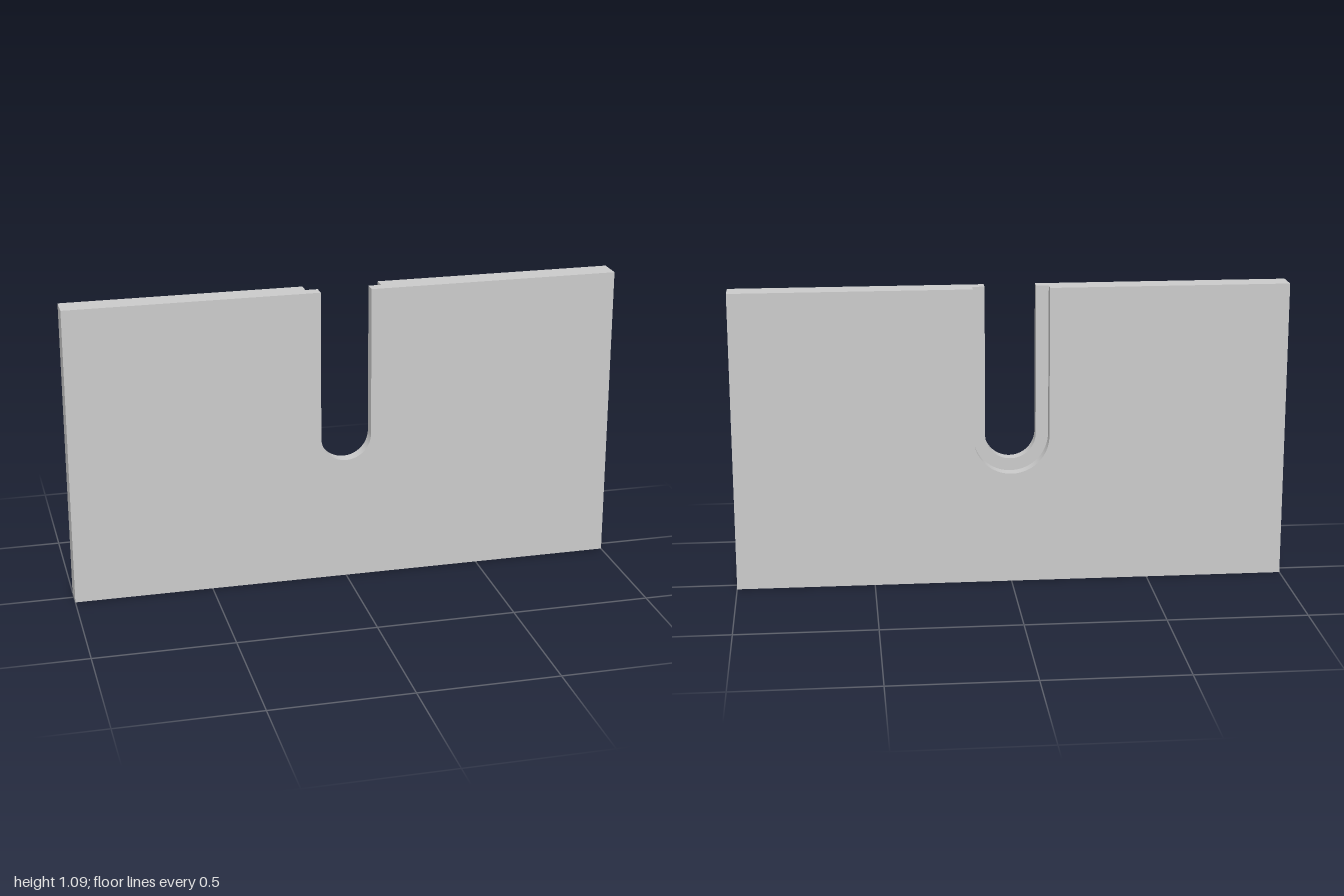
import * as THREE from 'three';

const HALF_WIDTH = 1, HEIGHT = 1.091, LAYER = 0.0455, SLOT_CENTRE = 0.547;

// Rectangular plate layer with a round-bottomed slot open at the top
function slottedLayer(name, slotRadius, z, material) {
  const shape = new THREE.Shape();
  shape.moveTo(-HALF_WIDTH, 0);
  shape.lineTo(HALF_WIDTH, 0);
  shape.lineTo(HALF_WIDTH, HEIGHT);
  shape.lineTo(slotRadius, HEIGHT);
  shape.lineTo(slotRadius, SLOT_CENTRE);
  shape.absarc(0, SLOT_CENTRE, slotRadius, 0, -Math.PI, true);
  shape.lineTo(-slotRadius, HEIGHT);
  shape.lineTo(-HALF_WIDTH, HEIGHT);
  shape.closePath();
  const geometry = new THREE.ExtrudeGeometry(shape, { depth: LAYER, bevelEnabled: false, curveSegments: 48 });
  const mesh = new THREE.Mesh(geometry, material);
  mesh.name = name;
  mesh.position.z = z;
  return mesh;
}

export function createModel() {
  const group = new THREE.Group();
  group.name = 'slottedPlate';
  const material = new THREE.MeshStandardMaterial({ color: 0xcccccc });

  // Narrow slot through the front half, wider recess through the back half
  group.add(slottedLayer('frontLayer', 0.092, 0, material));
  group.add(slottedLayer('backLayer', 0.137, -LAYER, material));
  return group;
}
